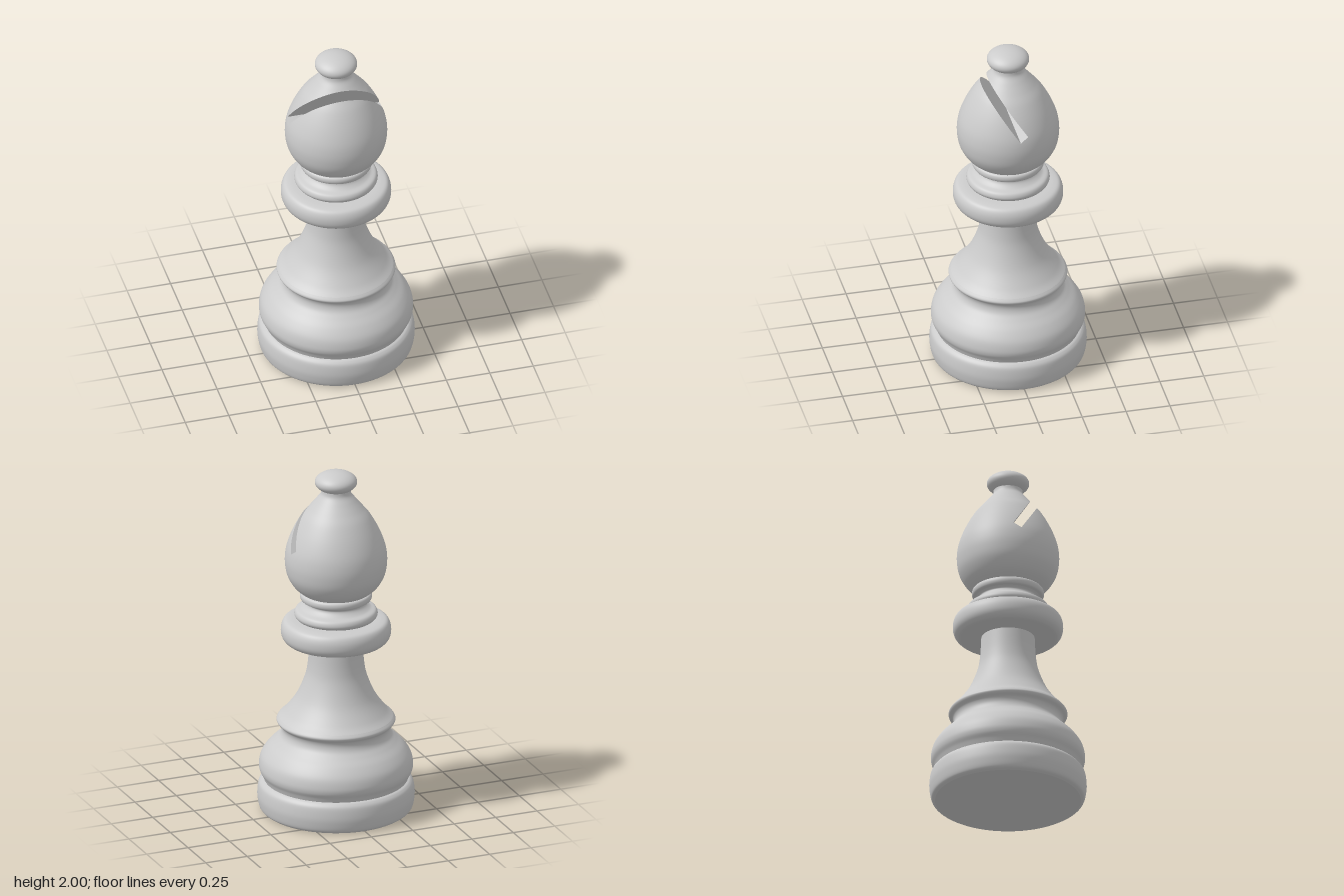
import * as THREE from 'three';

const SEGMENTS = 128;
const material = new THREE.MeshStandardMaterial({ color: 0xcccccc });

// Smooth profile through a few [radius, y] points, bottom to top
const profile = (pts, n = 6) =>
  new THREE.SplineCurve(pts.map(([r, y]) => new THREE.Vector2(r, y))).getPoints(pts.length * n);

const PARTS = {
  underside: [[0, 0], [0.2, 0], [0.405, 0]],
  foot: [[0.405, 0], [0.425, 0.017], [0.435, 0.06], [0.437, 0.1], [0.43, 0.15], [0.415, 0.172], [0.4, 0.18]],
  baseBulge: [[0.4, 0.18], [0.41, 0.205], [0.425, 0.235], [0.428, 0.27], [0.415, 0.32], [0.38, 0.37],
    [0.338, 0.41], [0.31, 0.44], [0.3, 0.47], [0.306, 0.497], [0.325, 0.515], [0.33, 0.53], [0.318, 0.547]],
  stem: [[0.318, 0.547], [0.28, 0.585], [0.22, 0.67], [0.174, 0.78], [0.156, 0.87], [0.148, 1.0]],
  collar: [[0.14, 0.992], [0.25, 0.992], [0.285, 1.004], [0.304, 1.035], [0.305, 1.08], [0.288, 1.115],
    [0.255, 1.126], [0.2, 1.128]],
  middleRing: [[0.2, 1.128], [0.222, 1.138], [0.232, 1.158], [0.222, 1.182], [0.192, 1.195], [0.172, 1.212],
    [0.166, 1.228], [0.178, 1.24]],
  upperRing: [[0.178, 1.24], [0.195, 1.246], [0.201, 1.265], [0.194, 1.283], [0.17, 1.29]],
};

const headProfile = profile([[0.165, 1.278], [0.195, 1.292], [0.237, 1.33], [0.27, 1.388], [0.283, 1.45],
  [0.283, 1.51], [0.27, 1.575], [0.238, 1.655], [0.193, 1.735], [0.15, 1.789], [0.111, 1.836], [0.085, 1.87],
  [0.08, 1.9]]);

function headRadius(y) {
  for (let i = 1; i < headProfile.length; i++) {
    const a = headProfile[i - 1], b = headProfile[i];
    if (y <= b.y) return a.x + (b.x - a.x) * (y - a.y) / (b.y - a.y);
  }
  return 0;
}

// Slanted slot: lower corner P, U up along the slot, N across it
const P = new THREE.Vector3(0, 1.55, -0.01);
const U = new THREE.Vector3(0, 0.826, 0.563).normalize();
const N = new THREE.Vector3(0, U.z, -U.y);
const WIDTH = 0.053;
const slotPoint = (t, s) => P.clone().addScaledVector(U, t).addScaledVector(N, s);

// Split a convex polygon of {p, n} corners by a signed distance
function split(poly, dist) {
  const outside = [], inside = [];
  poly.forEach((a, i) => {
    const b = poly[(i + 1) % poly.length], da = dist(a.p), db = dist(b.p);
    (da >= 0 ? outside : inside).push(a);
    if ((da >= 0) !== (db >= 0)) {
      const k = da / (da - db);
      const cut = { p: a.p.clone().lerp(b.p, k), n: a.n.clone().lerp(b.n, k).normalize() };
      outside.push(cut);
      inside.push(cut);
    }
  });
  return [outside, inside];
}

// Head surface with the slot removed
function slottedHead() {
  const src = new THREE.LatheGeometry(headProfile, SEGMENTS).toNonIndexed();
  const pos = [], nor = [];
  const planes = [
    p => -p.clone().sub(P).dot(N),
    p => p.clone().sub(P).dot(N) - WIDTH,
    p => -p.clone().sub(P).dot(U),
  ];
  const emit = poly => {
    for (let i = 2; i < poly.length; i++)
      for (const c of [poly[0], poly[i - 1], poly[i]]) {
        pos.push(...c.p.toArray());
        nor.push(...c.n.toArray());
      }
  };
  for (let i = 0; i < src.attributes.position.count; i += 3) {
    let rest = [0, 1, 2].map(k => ({
      p: new THREE.Vector3().fromBufferAttribute(src.attributes.position, i + k),
      n: new THREE.Vector3().fromBufferAttribute(src.attributes.normal, i + k),
    }));
    for (const plane of planes) {
      const [kept, inside] = split(rest, plane);
      emit(kept);
      rest = inside;
      if (rest.length < 3) break;
    }
  }
  const geo = new THREE.BufferGeometry();
  geo.setAttribute('position', new THREE.Float32BufferAttribute(pos, 3));
  geo.setAttribute('normal', new THREE.Float32BufferAttribute(nor, 3));
  return geo;
}

// Flat strip inside the head: each centre point widens in x to the head surface
function strip(centres, flip) {
  const pos = [], index = [];
  centres.forEach((c, i) => {
    const h = Math.sqrt(Math.max(0, headRadius(c.y) ** 2 - c.z ** 2));
    pos.push(-h, c.y, c.z, h, c.y, c.z);
    if (!i) return;
    const a = 2 * i - 2, b = a + 1, d = a + 2, e = a + 3;
    index.push(...(flip ? [a, e, b, a, d, e] : [a, b, e, a, e, d]));
  });
  const geo = new THREE.BufferGeometry();
  geo.setAttribute('position', new THREE.Float32BufferAttribute(pos, 3));
  geo.setIndex(index);
  geo.computeVertexNormals();
  return geo;
}

// Slot side wall at offset s, running up to where it leaves the head
function slotWall(s, flip) {
  let lo = 0, hi = 0.5;
  for (let i = 0; i < 40; i++) {
    const mid = (lo + hi) / 2, c = slotPoint(mid, s);
    if (headRadius(c.y) > Math.abs(c.z)) lo = mid; else hi = mid;
  }
  const rows = Array.from({ length: 41 }, (_, i) => slotPoint(lo * (1 - (1 - i / 40) ** 2), s));
  return strip(rows, flip);
}

export function createModel() {
  const model = new THREE.Group();
  model.name = 'chessBishop';
  const add = (name, geo, parent = model) => {
    const mesh = new THREE.Mesh(geo, material);
    mesh.name = name;
    parent.add(mesh);
    return mesh;
  };

  // Turned body
  for (const [name, pts] of Object.entries(PARTS))
    add(name, new THREE.LatheGeometry(profile(pts), SEGMENTS));

  // Head with its slot
  const head = new THREE.Group();
  head.name = 'head';
  model.add(head);
  add('headShell', slottedHead(), head);
  add('slotLowerWall', slotWall(0, true), head);
  add('slotUpperWall', slotWall(WIDTH, false), head);
  add('slotFloor', strip([0, 0.25, 0.5, 0.75, 1].map(k => slotPoint(0, k * WIDTH)), false), head);

  // Finial knob
  const knob = add('knob', new THREE.SphereGeometry(1, 64, 32));
  knob.scale.set(0.118, 0.061, 0.118);
  knob.position.y = 1.939;

  return model;
}
